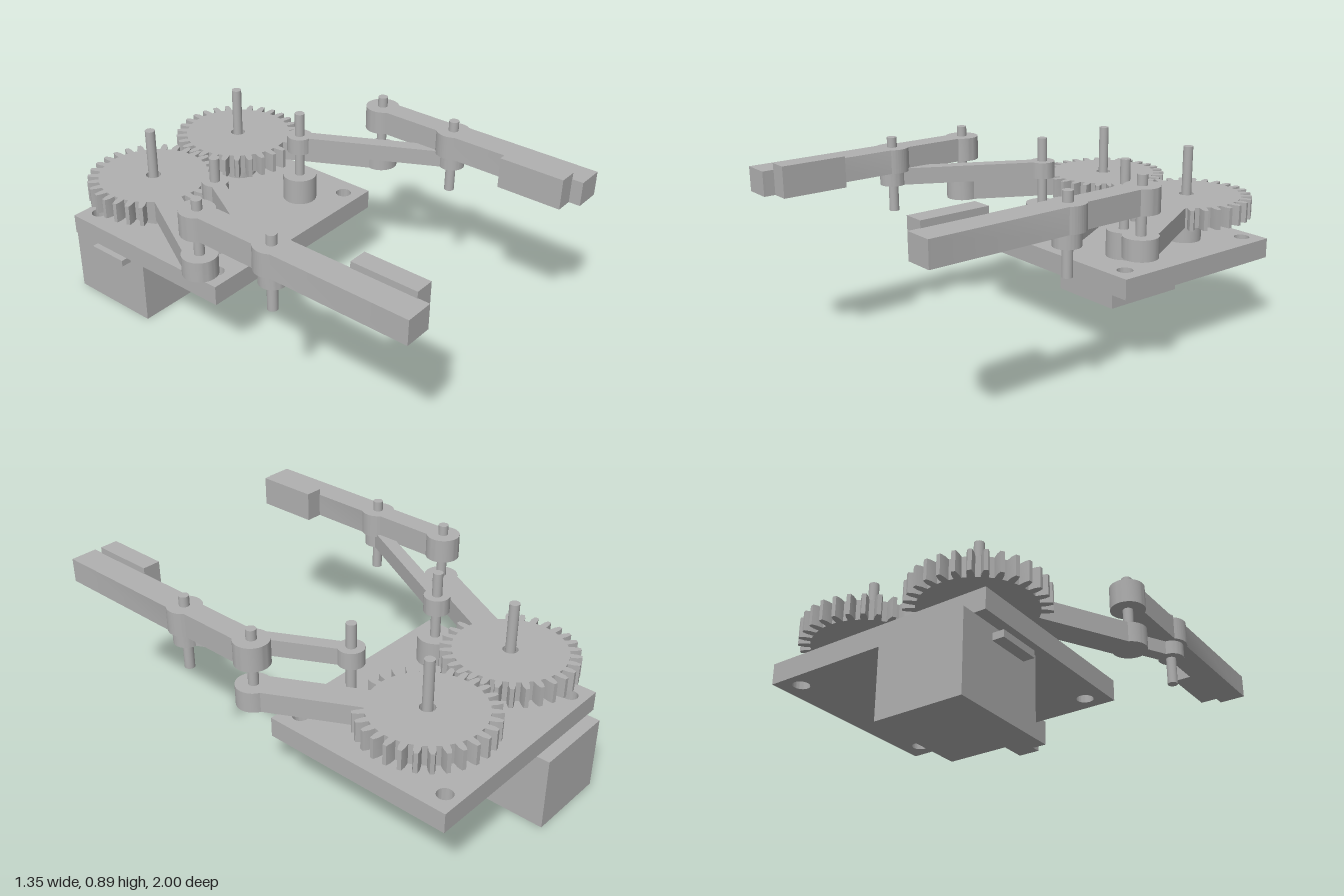
import * as THREE from 'three';
import { toCreasedNormals } from 'three/addons/utils/BufferGeometryUtils.js';

const TAU = Math.PI * 2;
const grey = new THREE.MeshStandardMaterial({ color: 0xb0b0b0 });
grey.name = 'plain grey';

function add(parent, name, geometry, x = 0, y = 0, z = 0) {
  const mesh = new THREE.Mesh(geometry, grey);
  mesh.name = name;
  mesh.position.set(x, y, z);
  parent.add(mesh);
  return mesh;
}

// Box given by its min and max corners
function box(parent, name, x0, x1, y0, y1, z0, z1) {
  return add(parent, name, new THREE.BoxGeometry(x1 - x0, y1 - y0, z1 - z0),
    (x0 + x1) / 2, (y0 + y1) / 2, (z0 + z1) / 2);
}

// Upright cylinder between two heights
function post(parent, name, r, x, z, y0, y1) {
  return add(parent, name, new THREE.CylinderGeometry(r, r, y1 - y0, 28), x, (y0 + y1) / 2, z);
}

// Flat part: a shape in (x, -z) extruded upward
function slab(shape, thickness) {
  const g = new THREE.ExtrudeGeometry(shape, { depth: thickness, bevelEnabled: false, curveSegments: 20 });
  g.rotateX(-Math.PI / 2);
  return toCreasedNormals(g, 0.5);
}

function hole(shape, x, y, r) {
  shape.holes.push(new THREE.Path().absarc(x, y, r, 0, TAU, true));
}

// Bar along +x with a round boss at each end, and an optional straight tail
function linkShape(len, r, half, tailEnd = 0, tailHalf = 0) {
  const a = Math.asin(half / r);
  const s = new THREE.Shape();
  s.absarc(0, 0, r, a, TAU - a, false);
  if (tailEnd) {
    const b = Math.asin(tailHalf / r);
    s.absarc(len, 0, r, a - Math.PI, -b, false);
    s.lineTo(tailEnd, -tailHalf);
    s.lineTo(tailEnd, tailHalf);
    s.absarc(len, 0, r, b, Math.PI - a, false);
  } else {
    s.absarc(len, 0, r, a - Math.PI, Math.PI - a, false);
  }
  s.closePath();
  return s;
}

// Gear whose outline runs out into a crank arm along +x
function gearShape(len, phase) {
  const root = 0.243, tip = 0.292, half = 0.06, boss = 0.075, pitch = TAU / 30;
  const a = Math.asin(half / root), b = Math.asin(half / boss);
  const s = new THREE.Shape();
  const to = (r, t) => s.lineTo(r * Math.cos(t), r * Math.sin(t));
  s.moveTo(root * Math.cos(a), half);
  const first = phase - Math.floor(phase / pitch) * pitch;
  for (let t = first; t < TAU; t += pitch) {
    if (t < a + 0.07 || t > TAU - a - 0.07) continue;
    to(root, t - 0.062);
    to(0.27, t - 0.052);
    to(tip, t - 0.028);
    to(tip, t + 0.028);
    to(0.27, t + 0.052);
    to(root, t + 0.062);
  }
  to(root, TAU - a);
  s.absarc(len, 0, boss, b - Math.PI, Math.PI - b, false);
  s.closePath();
  hole(s, 0, 0, 0.033);
  return s;
}

export function createModel() {
  const model = new THREE.Group();
  model.name = 'gripper';

  // Base plate with four screw holes
  const plate = new THREE.Shape();
  plate.moveTo(-0.52, 0.05);
  plate.lineTo(0.52, 0.05);
  plate.lineTo(0.52, 0.94);
  plate.lineTo(-0.52, 0.94);
  plate.closePath();
  for (const x of [-0.43, 0.43]) for (const y of [0.13, 0.87]) hole(plate, x, y, 0.035);
  add(model, 'basePlate', slab(plate, 0.09), 0, 0.34, 0);

  // Motor below the plate with its mounting tabs
  box(model, 'motorBody', -0.47, -0.088, 0, 0.34, -1, -0.555);
  box(model, 'motorTab', -0.52, -0.47, 0.28, 0.31, -0.83, -0.635);
  box(model, 'motorTab', -0.088, -0.033, 0.28, 0.31, -0.83, -0.635);

  // Drive shaft and horn on one gear, plain spacer under the other
  post(model, 'driveShaft', 0.075, -0.275, -0.65, 0.43, 0.465);
  post(model, 'driveHorn', 0.12, -0.275, -0.65, 0.463, 0.55);
  post(model, 'gearSpacer', 0.077, 0.275, -0.65, 0.43, 0.55);

  // Mirrored linkage: gear crank, parallel link and finger
  const dx = 0.325, dz = 0.61, len = Math.hypot(dx, dz);
  for (const side of [-1, 1]) {
    const arm = new THREE.Group();
    arm.name = side > 0 ? 'leftArm' : 'rightArm';
    model.add(arm);
    const px = side * 0.275, fx = side * 0.6;
    const heading = Math.atan2(-dz, side * dx);
    const phase = (side > 0 ? Math.PI + TAU / 60 : 0) - heading;

    add(arm, 'gearCrank', slab(gearShape(len, phase), 0.09), px, 0.55, -0.655).rotation.y = heading;
    add(arm, 'parallelLink', slab(linkShape(len, 0.057, 0.03), 0.075), px, 0.675, -0.268).rotation.y = heading;
    add(arm, 'finger', slab(linkShape(0.385, 0.075, 0.05, 1.045, 0.061), 0.107), fx, 0.738, -0.045)
      .rotation.y = -Math.PI / 2;

    // Grip pad on the inner face of the finger
    const inner = side * 0.46, outer = side * 0.542;
    box(arm, 'gripPad', Math.min(inner, outer), Math.max(inner, outer), 0.738, 0.873, 0.66, 0.95);

    // Spacer and pivot pins
    post(arm, 'linkSpacer', 0.077, px, -0.268, 0.43, 0.55);
    post(arm, 'gearPin', 0.022, px, -0.655, 0.43, 0.858);
    post(arm, 'linkPin', 0.022, px, -0.268, 0.55, 0.858);
    post(arm, 'crankPin', 0.022, fx, -0.045, 0.551, 0.89);
    post(arm, 'fingerPin', 0.022, fx, 0.34, 0.551, 0.89);
  }
  return model;
}
